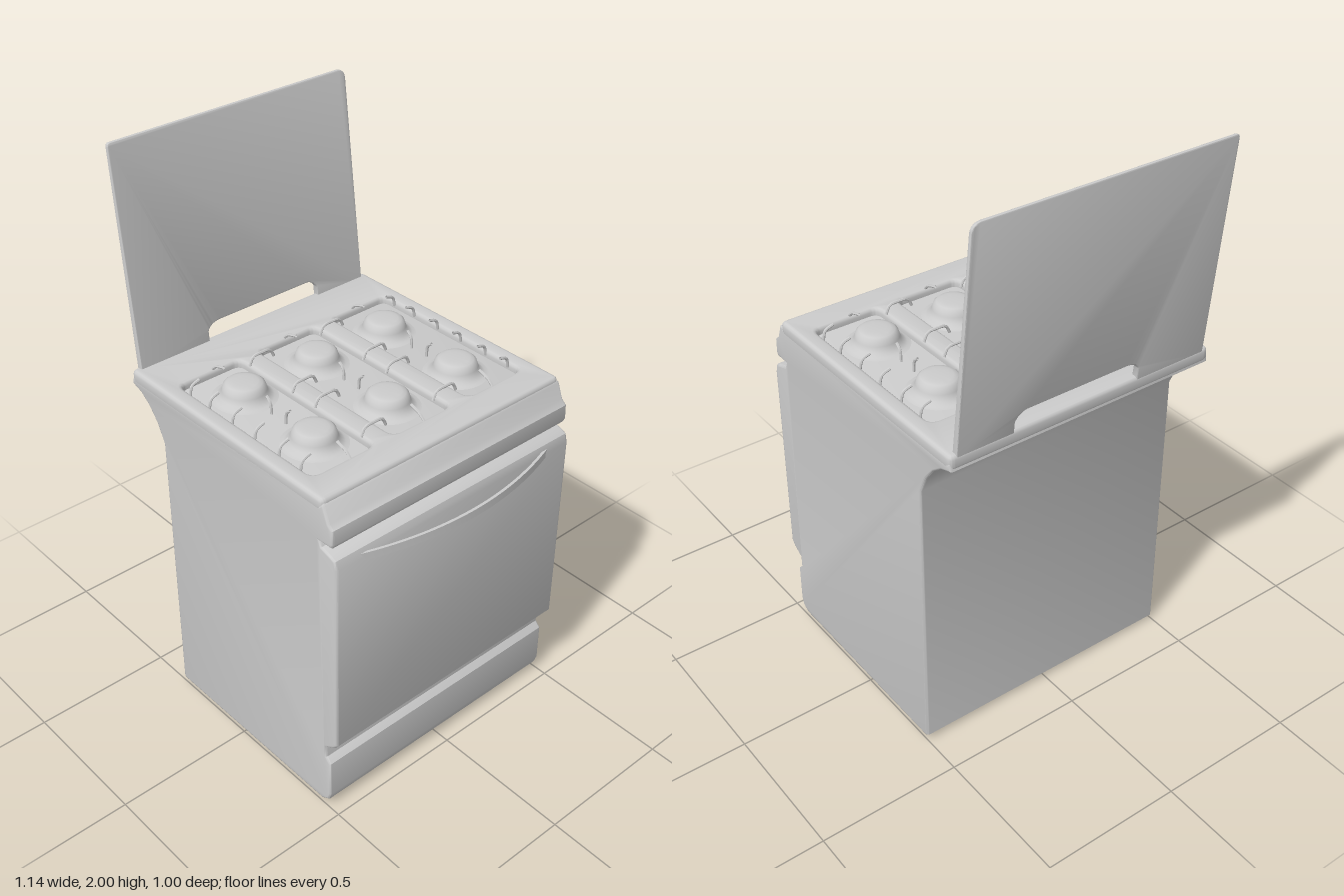
import * as THREE from 'three';
import { toCreasedNormals } from 'three/addons/utils/BufferGeometryUtils.js';

const material = new THREE.MeshStandardMaterial({ color: 0xcccccc, side: THREE.DoubleSide });

function add(parent, name, geometry, x = 0, y = 0, z = 0) {
  const mesh = new THREE.Mesh(toCreasedNormals(geometry, 0.7), material);
  mesh.name = name;
  mesh.position.set(x, y, z);
  parent.add(mesh);
  return mesh;
}

// Rounded rectangle outline, used for solid shapes and holes
function roundRect(path, x0, y0, x1, y1, r) {
  path.moveTo(x0 + r, y0);
  path.lineTo(x1 - r, y0);
  path.quadraticCurveTo(x1, y0, x1, y0 + r);
  path.lineTo(x1, y1 - r);
  path.quadraticCurveTo(x1, y1, x1 - r, y1);
  path.lineTo(x0 + r, y1);
  path.quadraticCurveTo(x0, y1, x0, y1 - r);
  path.lineTo(x0, y0 + r);
  path.quadraticCurveTo(x0, y0, x0 + r, y0);
  return path;
}

function extrude(shape, depth, bevel) {
  return new THREE.ExtrudeGeometry(shape, {
    depth: depth - 2 * bevel, bevelEnabled: bevel > 0, bevelThickness: bevel,
    bevelSize: bevel, bevelOffset: -bevel, bevelSegments: 3, curveSegments: 8,
  }).translate(0, 0, bevel);
}

// Thin rod through a few points
function rod(parent, name, points, radius) {
  const curve = new THREE.CatmullRomCurve3(points.map(p => new THREE.Vector3(...p)));
  add(parent, name, new THREE.TubeGeometry(curve, 10, radius, 6), 0, 0, 0);
}

export function createModel() {
  const stove = new THREE.Group();
  stove.name = 'stove';

  // Body: side profile with drawer, door, control panel and flared back
  const profile = [
    [-0.34, 0.012], [0.42, 0.012], [0.45, 0.03], [0.46, 0.06], [0.46, 0.2], [0.44, 0.22],
    [0.44, 0.265], [0.48, 0.29], [0.495, 0.31], [0.498, 1.03], [0.49, 1.06],
    [0.47, 1.07], [0.43, 1.08], [0.42, 1.1], [0.475, 1.1], [0.482, 1.115], [0.48, 1.165],
    [0.462, 1.18], [0.442, 1.232], [0.435, 1.238], [0.42, 1.225], [-0.5, 1.225], [-0.505, 1.2],
    [-0.46, 1.185], [-0.42, 1.155], [-0.38, 1.105], [-0.35, 1.04], [-0.35, 0.02],
  ];
  const bodyShape = new THREE.Shape(profile.map(p => new THREE.Vector2(...p)));
  add(stove, 'body', extrude(bodyShape, 1, 0.008), 0, 0, -0.5);

  // Cooktop plate with three sunken wells
  const plate = roundRect(new THREE.Shape(), -0.505, -0.5, 0.437, 0.5, 0.02);
  for (const [z0, z1] of [[-0.44, -0.2], [-0.12, 0.12], [0.2, 0.44]]) {
    plate.holes.push(roundRect(new THREE.Path(), -0.325, z0, 0.325, z1, 0.03));
  }
  add(stove, 'cooktop', extrude(plate, 0.052, 0.014).rotateX(-Math.PI / 2), 0, 1.2, 0);

  // Six burners: a soft mound rising to a domed cap
  const burnerProfile = [
    [0.108, 0], [0.095, 0.003], [0.08, 0.012], [0.073, 0.03], [0.068, 0.046],
    [0.058, 0.055], [0.045, 0.058], [0.03, 0.059], [0, 0.06],
  ].map(p => new THREE.Vector2(...p));
  const burners = new THREE.Group();
  burners.name = 'burners';
  stove.add(burners);
  for (const x of [-0.17, 0.17]) {
    for (const z of [-0.3, 0, 0.3]) {
      add(burners, 'burner', new THREE.LatheGeometry(burnerProfile, 32), x, 1.225, z);
    }
  }

  // Grates: arches over the ridges and short prongs round the burners
  const grates = new THREE.Group();
  grates.name = 'grates';
  stove.add(grates);
  for (const s of [-1, 1]) {
    for (const x of [-0.27, -0.055, 0.055, 0.27]) {
      rod(grates, 'grateArch', [
        [x, 1.25, s * 0.1], [x, 1.278, s * 0.115], [x, 1.282, s * 0.15],
        [x, 1.278, s * 0.185], [x, 1.25, s * 0.2],
      ], 0.005);
    }
    for (const x of [-0.27, -0.17, -0.055, 0.055, 0.17, 0.27]) {
      rod(grates, 'edgeProng', [
        [x, 1.235, s * 0.44], [x, 1.27, s * 0.43], [x, 1.283, s * 0.4],
      ], 0.005);
    }
    for (const z of [-0.3, 0, 0.3]) {
      rod(grates, 'sideProng', [
        [s * 0.335, 1.25, z], [s * 0.315, 1.268, z], [s * 0.275, 1.282, z],
      ], 0.005);
      rod(grates, 'middleProng', [
        [s * 0.035, 1.225, z], [s * 0.04, 1.265, z], [s * 0.058, 1.282, z],
      ], 0.005);
    }
  }

  // Raised lid: thin leaning panel with a notch at its foot
  const lid = new THREE.Shape();
  lid.moveTo(-0.475, 1.235);
  lid.lineTo(-0.2, 1.235);
  lid.lineTo(-0.2, 1.285);
  lid.quadraticCurveTo(-0.19, 1.31, -0.15, 1.312);
  lid.lineTo(0.23, 1.312);
  lid.quadraticCurveTo(0.26, 1.305, 0.27, 1.28);
  lid.lineTo(0.27, 1.235);
  lid.lineTo(0.475, 1.235);
  lid.lineTo(0.468, 1.97);
  lid.quadraticCurveTo(0.465, 2, 0.435, 2);
  lid.lineTo(-0.46, 2);
  lid.quadraticCurveTo(-0.472, 2, -0.472, 1.985);
  lid.closePath();
  const lidGeometry = extrude(lid, 0.024, 0.004).rotateY(Math.PI / 2);
  const position = lidGeometry.attributes.position;
  for (let i = 0; i < position.count; i++) {
    const t = (position.getY(i) - 1.235) / 0.765;
    position.setX(i, position.getX(i) * (1 - 0.5 * t) - 0.503 - 0.07 * t);
  }
  add(stove, 'lid', lidGeometry);

  // Bowed oven door handle
  const handle = new THREE.Shape();
  handle.moveTo(0.485, -0.43);
  handle.quadraticCurveTo(0.65, 0, 0.485, 0.43);
  handle.lineTo(0.485, 0.405);
  handle.quadraticCurveTo(0.63, 0, 0.485, -0.405);
  handle.closePath();
  const handleGeometry = new THREE.ExtrudeGeometry(handle, {
    depth: 0.028, bevelEnabled: false, curveSegments: 32,
  }).rotateX(-Math.PI / 2);
  add(stove, 'doorHandle', handleGeometry, 0, 1.015, 0);

  // Low feet
  for (const x of [-0.29, 0.38]) {
    for (const z of [-0.44, 0.44]) {
      add(stove, 'foot', new THREE.CylinderGeometry(0.04, 0.035, 0.02, 20), x, 0.01, z);
    }
  }
  return stove;
}
